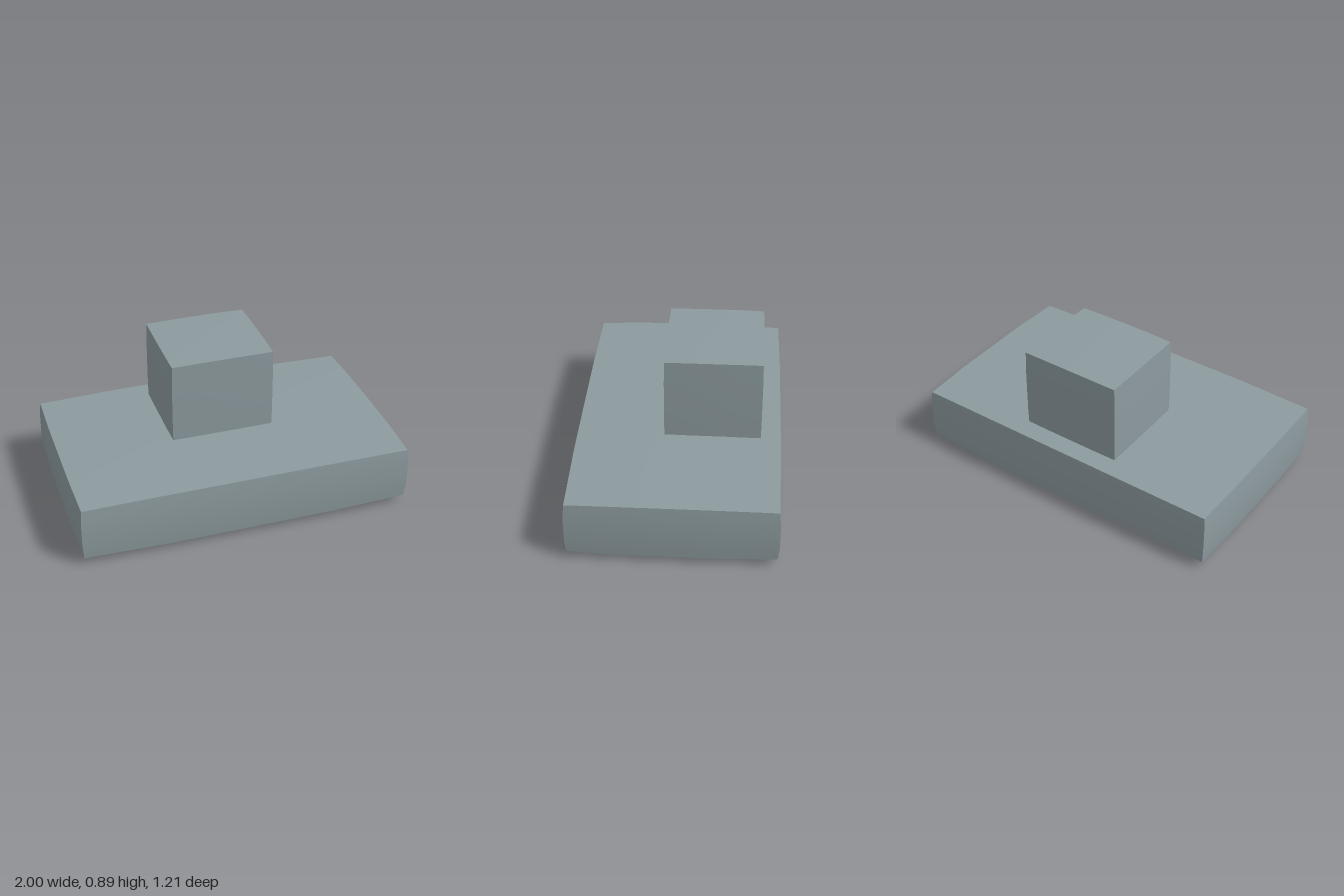
import * as THREE from 'three';

const steel = new THREE.MeshStandardMaterial({ color: 0x8c9a9e });
steel.name = 'brushed steel';
const dark = new THREE.MeshStandardMaterial({ color: 0x44575b });
dark.name = 'dark filter metal';

// Box whose faces and edges swell gently; min/max are its corners.
// Faces keep separate vertices, so edges stay sharp and faces smooth.
function pillowBox(name, material, min, max, bulge) {
  const size = max.map((v, i) => v - min[i]);
  const geo = new THREE.BoxGeometry(2, 2, 2, 4, 4, 4);
  const pos = geo.attributes.position;
  const swell = t => 1 - t ** 4;
  for (let i = 0; i < pos.count; i++) {
    const p = [pos.getX(i), pos.getY(i), pos.getZ(i)];
    const q = p.map((t, k) =>
      t * (size[k] / 2 + bulge[k] * (swell(p[(k + 1) % 3]) + swell(p[(k + 2) % 3])) / 2));
    pos.setXYZ(i, ...q);
  }
  geo.computeVertexNormals();
  const mesh = new THREE.Mesh(geo, material);
  mesh.name = name;
  mesh.position.set(...min.map((v, i) => v + size[i] / 2));
  return mesh;
}

export function createModel() {
  const model = new THREE.Group();
  model.name = 'rangeHood';

  // Wide canopy and the duct rising from its rear half
  model.add(pillowBox('canopy', steel, [-0.984, 0.047, -0.59], [0.984, 0.374, 0.59], [0.016, 0.016, 0.016]));
  model.add(pillowBox('duct', steel, [-0.309, 0.33, -0.479], [0.309, 0.885, 0.084], [0.006, 0.005, 0.005]));

  // Row of filter slats under the canopy
  const slats = new THREE.Group();
  slats.name = 'filterSlats';
  for (let i = -4; i <= 4; i++) {
    const slat = pillowBox('slat', dark, [-0.038, 0.006, -0.452], [0.038, 0.02, 0.452], [0.006, 0.006, 0.004]);
    slat.position.x = i * 0.197;
    slats.add(slat);
  }
  model.add(slats);
  return model;
}
